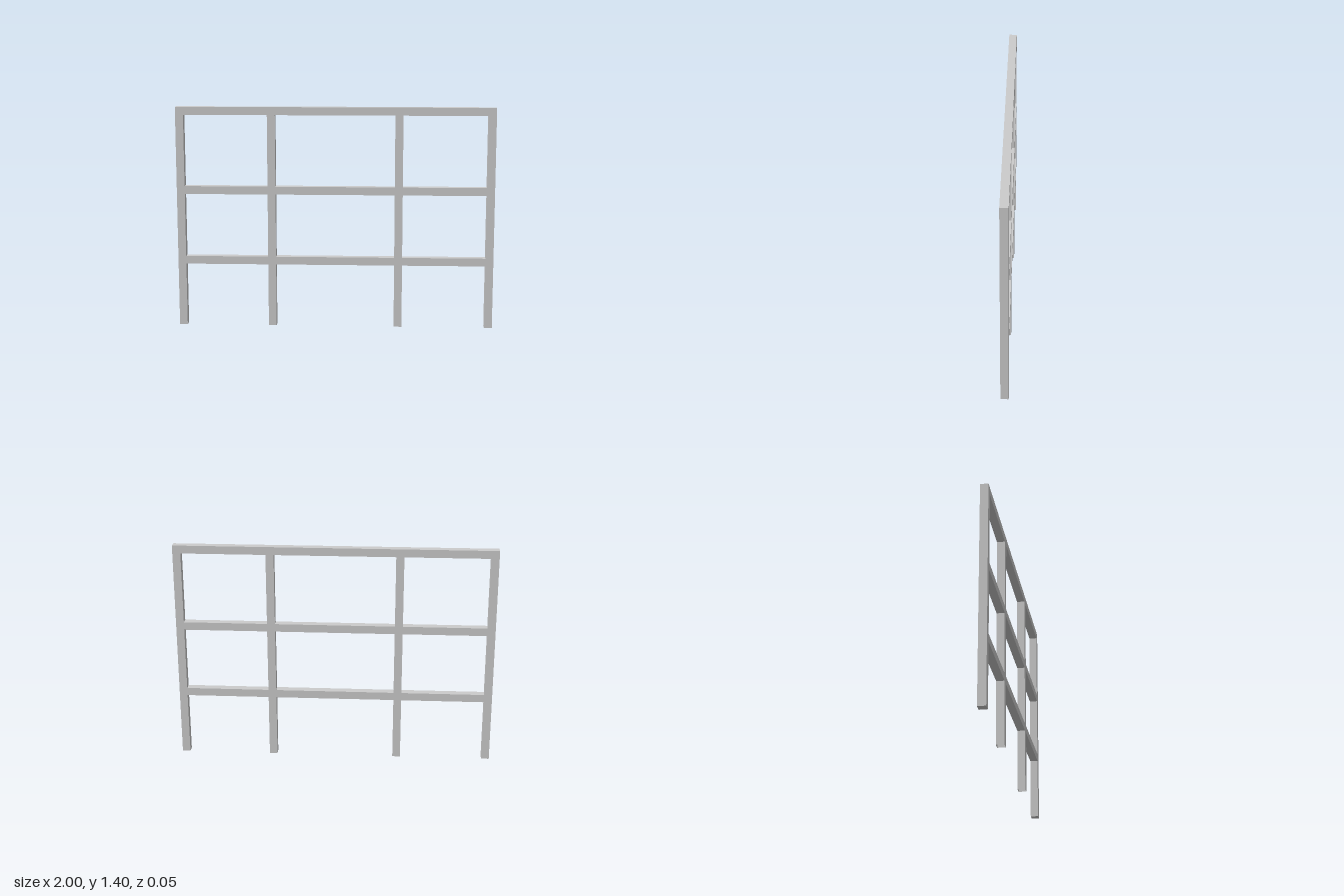
import * as THREE from 'three';

const T = 0.05; // square bar thickness
const H = 1.4;  // overall height

export function createModel() {
  const group = new THREE.Group();
  const solid = new THREE.MeshStandardMaterial({ color: 0xcccccc, flatShading: true });
  const hollow = new THREE.MeshStandardMaterial({ color: 0xcccccc, flatShading: true, side: THREE.DoubleSide });

  const add = (name, geometry, material, x, y) => {
    const mesh = new THREE.Mesh(geometry, material);
    mesh.name = name;
    mesh.position.set(x, y, 0);
    group.add(mesh);
  };
  // Square tube with open ends, standing along y
  const tube = (length) =>
    new THREE.CylinderGeometry(T / Math.SQRT2, T / Math.SQRT2, length, 4, 1, true).rotateY(Math.PI / 4);

  // Top rail across the full width
  add('topRail', new THREE.BoxGeometry(2, T, T), solid, 0, H - T / 2);

  // Posts: solid at the ends, open-bottomed tubes between
  const postHeight = H - T;
  for (const [name, side] of [['left', 1], ['right', -1]]) {
    add(name + 'OuterPost', new THREE.BoxGeometry(T, postHeight, T), solid, side * (1 - T / 2), postHeight / 2);
    add(name + 'InnerPost', tube(postHeight), hollow, side * 0.4, postHeight / 2);
  }

  // Lower rails, one piece per bay between neighbouring posts
  const posts = [-1 + T / 2, -0.4, 0.4, 1 - T / 2];
  for (const [name, y] of [['lowerRail', 0.425], ['middleRail', 0.875]]) {
    for (let i = 0; i < 3; i++) {
      const length = posts[i + 1] - posts[i] - T;
      add(name, tube(length).rotateZ(Math.PI / 2), solid, (posts[i] + posts[i + 1]) / 2, y);
    }
  }
  return group;
}
